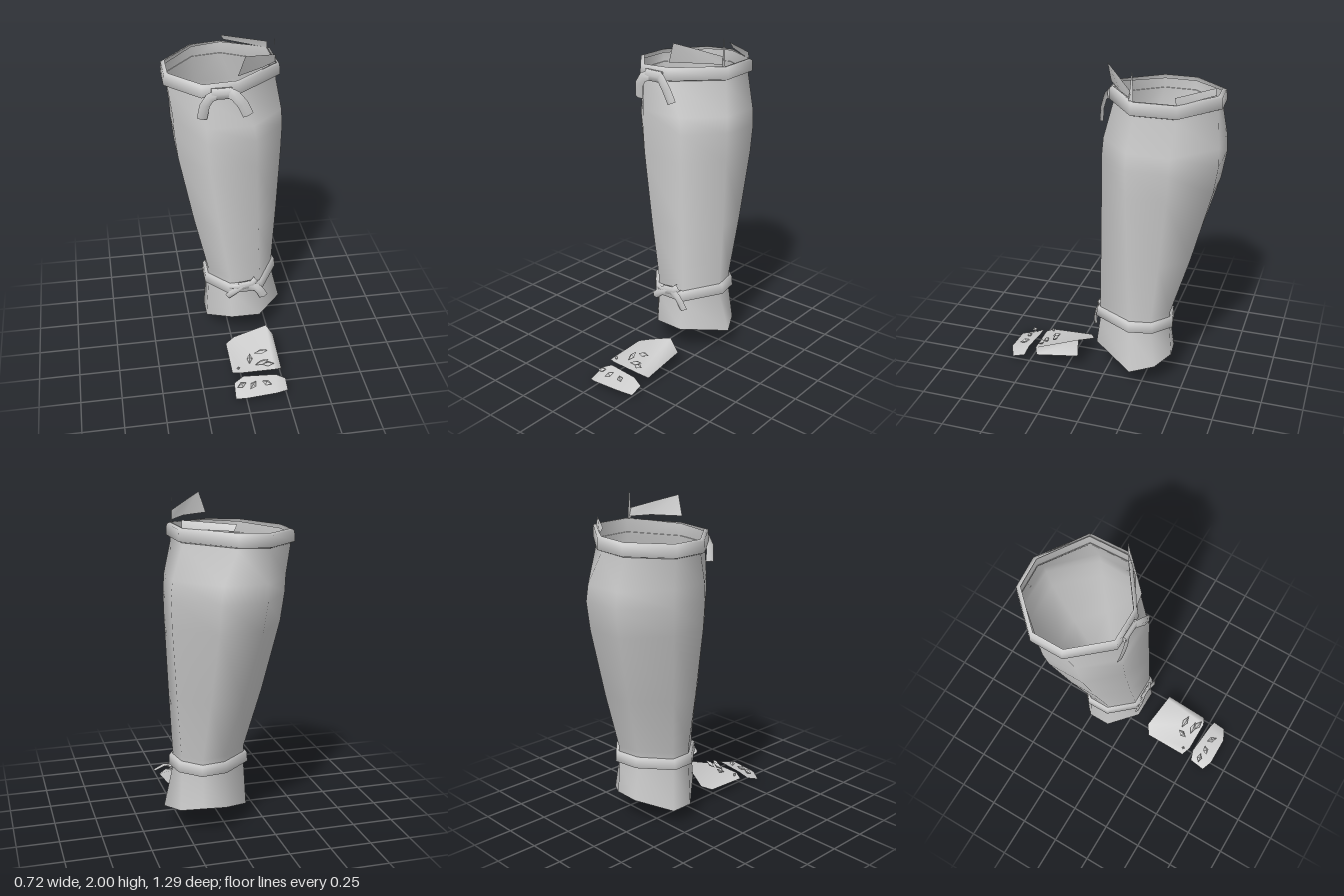
import * as THREE from 'three';

const grey = new THREE.MeshStandardMaterial({ color: 0xcccccc, side: THREE.DoubleSide });
grey.name = 'plain grey';

// Surface through rows of [x, y, z] points; closed joins each row into a ring
function sheet(name, rows, closed = false) {
  const n = rows[0].length, index = [];
  for (let r = 0; r < rows.length - 1; r++) {
    for (let i = 0; i < (closed ? n : n - 1); i++) {
      const j = (i + 1) % n;
      const a = r * n + i, b = r * n + j, c = a + n, d = b + n;
      index.push(a, b, c, b, d, c);
    }
  }
  const g = new THREE.BufferGeometry();
  g.setAttribute('position', new THREE.Float32BufferAttribute(rows.flat(2), 3));
  g.setIndex(index);
  g.computeVertexNormals();
  const mesh = new THREE.Mesh(g, grey);
  mesh.name = name;
  return mesh;
}

// Eight-sided plan outlines [x, z], running left, back, right, front
const kneePlan = [[-0.34, -0.21], [-0.34, -0.4], [-0.15, -0.6], [0.03, -0.61], [0.29, -0.43], [0.3, -0.19], [0.04, 0], [-0.16, 0]];
const calfPlan = [[-0.315, -0.15], [-0.315, -0.39], [-0.13, -0.645], [0.13, -0.645], [0.35, -0.41], [0.34, -0.16], [0.15, 0.035], [-0.14, 0.035]];
const anklePlan = [[-0.13, -0.1], [-0.13, -0.23], [0.03, -0.37], [0.17, -0.4], [0.275, -0.31], [0.3, -0.18], [0.18, 0.04], [-0.01, 0.04]];
const hemPlan = [[-0.145, -0.1], [-0.145, -0.24], [0.03, -0.4], [0.17, -0.415], [0.29, -0.34], [0.36, -0.2], [0.18, 0.065], [0, 0.065]];

// Ring at a height that tilts with x
const ring = (plan, y, tilt = 0, grow = 0, cx = 0, cz = -0.3) => plan.map(([x, z]) => {
  const l = Math.hypot(x - cx, z - cz) || 1;
  return [x + (x - cx) / l * grow, y + x * tilt, z + (z - cz) / l * grow];
});
const mix = (p, q, t) => p.map((v, i) => [v[0] + (q[i][0] - v[0]) * t, v[1] + (q[i][1] - v[1]) * t]);

// Rounded band lying around an outline
function strap(name, plan, y, tilt, half, cx, cz) {
  const profile = [[0.95, -0.005], [0.75, 0.02], [-0.75, 0.024], [-1, -0.003]];
  return sheet(name, profile.map(([v, o]) => ring(plan, y + v * half, tilt, o, cx, cz)), true);
}

// Flat ribbon along points [x, y, z] of a given width
function ribbon(name, pts, width) {
  const rows = pts.map((p, i) => {
    const a = pts[Math.max(i - 1, 0)], b = pts[Math.min(i + 1, pts.length - 1)];
    const dx = b[0] - a[0], dy = b[1] - a[1], l = Math.hypot(dx, dy) || 1, h = width / 2;
    const nx = -dy / l * h, ny = dx / l * h;
    return [[p[0] - nx, p[1] - ny, p[2]], [p[0], p[1], p[2] + 0.012], [p[0] + nx, p[1] + ny, p[2]]];
  });
  return sheet(name, rows);
}

function knot(name, x, y, z, w, h, tilt) {
  const m = new THREE.Mesh(new THREE.CylinderGeometry(h / 2, h / 2, w, 6), grey);
  m.name = name;
  m.scale.z = 0.4;
  m.rotation.z = Math.PI / 2 + tilt;
  m.scale.set(1, 1, 0.4);
  m.position.set(x, y, z);
  return m;
}

export function createModel() {
  const model = new THREE.Group();
  model.name = 'legGuard';

  // Main shell, from knee rim to flared ankle hem
  const hemY = [0.1, 0.1, 0.165, 0.18, 0.15, 0.13, 0.19, 0.19];
  model.add(sheet('shell', [
    ring(kneePlan, 1.815, 0.09),
    ring(kneePlan, 1.73, 0.03),
    ring(mix(kneePlan, calfPlan, 0.85), 1.55),
    ring(calfPlan, 1.45),
    ring(mix(calfPlan, anklePlan, 0.1), 1.28),
    ring(mix(calfPlan, anklePlan, 0.55), 0.85),
    ring(anklePlan, 0.48),
    ring(anklePlan, 0.37),
    hemPlan.map(([x, z], i) => [x, hemY[i], z]),
  ], true));

  // Straps
  model.add(strap('kneeStrap', kneePlan, 1.785, 0.05, 0.042, 0, -0.3));
  model.add(strap('ankleStrap', anklePlan, 0.41, 0.03, 0.038, 0.08, -0.18));

  // Torn pieces standing on the knee rim
  model.add(sheet('rimShard', [
    [[0.04, 1.86, 0.01], [0.2, 1.86, -0.09], [0.29, 1.85, -0.18]],
    [[0.08, 1.98, 0.02], [0.18, 1.943, -0.07], [0.29, 1.9, -0.17]],
  ]));
  model.add(sheet('rimSpike', [
    [[0.29, 1.84, -0.165], [0.292, 1.84, -0.19]],
    [[0.284, 2, -0.18], [0.286, 1.99, -0.186]],
  ]));
  model.add(sheet('backRimShard', [
    [[0.03, 1.87, -0.59], [0.29, 1.88, -0.42]],
    [[0.05, 1.835, -0.6], [0.29, 1.835, -0.43]],
  ]));

  // Knee bow
  const kneeBow = new THREE.Group();
  kneeBow.name = 'kneeBow';
  kneeBow.add(
    knot('kneeKnot', -0.055, 1.77, 0.03, 0.12, 0.075, 0),
    ribbon('kneeTailRight', [[-0.08, 1.765, 0.03], [-0.125, 1.755, 0.045], [-0.155, 1.71, 0.045], [-0.17, 1.62, 0.03]], 0.06),
    ribbon('kneeTailLeft', [[-0.02, 1.775, 0.03], [0.02, 1.76, 0.05], [0.06, 1.71, 0.055], [0.095, 1.635, 0.05]], 0.065),
  );
  model.add(kneeBow);

  // Ankle bow
  const ankleBow = new THREE.Group();
  ankleBow.name = 'ankleBow';
  ankleBow.add(
    knot('ankleKnot', 0.09, 0.435, 0.06, 0.09, 0.06, 0.15),
    ribbon('ankleTailRight', [[0.07, 0.43, 0.06], [0.02, 0.4, 0.068], [-0.03, 0.36, 0.06]], 0.045),
    ribbon('ankleTailLeft', [[0.11, 0.43, 0.06], [0.16, 0.41, 0.068], [0.185, 0.38, 0.068], [0.205, 0.335, 0.06]], 0.055),
    ribbon('ankleLoopLeft', [[0.1, 0.43, 0.06], [0.13, 0.45, 0.065], [0.155, 0.47, 0.05]], 0.045),
    ribbon('ankleLoopRight', [[0.08, 0.43, 0.06], [0.03, 0.43, 0.065], [-0.02, 0.42, 0.05]], 0.03),
  );
  model.add(ankleBow);

  // Two plates over the foot
  model.add(sheet('instepPlate', [
    [[-0.06, 0.06, 0.45], [0, 0.075, 0.475], [0.2, 0.075, 0.475], [0.25, 0.055, 0.45]],
    [[-0.06, 0.07, 0.18], [0, 0.085, 0.14], [0.2, 0.19, 0.18], [0.25, 0.1, 0.17]],
  ]));
  model.add(sheet('toePlate', [
    [[-0.065, 0, 0.62], [0, 0.025, 0.648], [0.18, 0.04, 0.648], [0.26, 0.02, 0.61]],
    [[-0.06, 0.04, 0.52], [0, 0.07, 0.5], [0.2, 0.075, 0.52], [0.26, 0.045, 0.53]],
  ]));

  // Small crumpled lacing scraps on the plates: x, y, z, length, turn
  const scraps = [
    [0.135, 0.13, 0.36, 0.09, 0], [0.06, 0.1, 0.38, 0.07, 1.4], [0.13, 0.1, 0.425, 0.09, 0.2],
    [0.165, 0.1, 0.445, 0.08, -0.2], [-0.02, 0.08, 0.435, 0.02, 0],
    [-0.02, 0.06, 0.565, 0.06, 0.3], [0.05, 0.06, 0.575, 0.06, 0.8], [0.135, 0.065, 0.575, 0.07, -0.7],
  ];
  for (const [x, y, z, l, turn] of scraps) {
    const s = new THREE.Mesh(new THREE.OctahedronGeometry(0.5), grey);
    s.name = 'lacingScrap';
    s.scale.set(l, 0.03, Math.min(l, 0.035));
    s.rotation.set(0.3, turn, 0.25);
    s.position.set(x, y, z);
    model.add(s);
  }
  return model;
}
